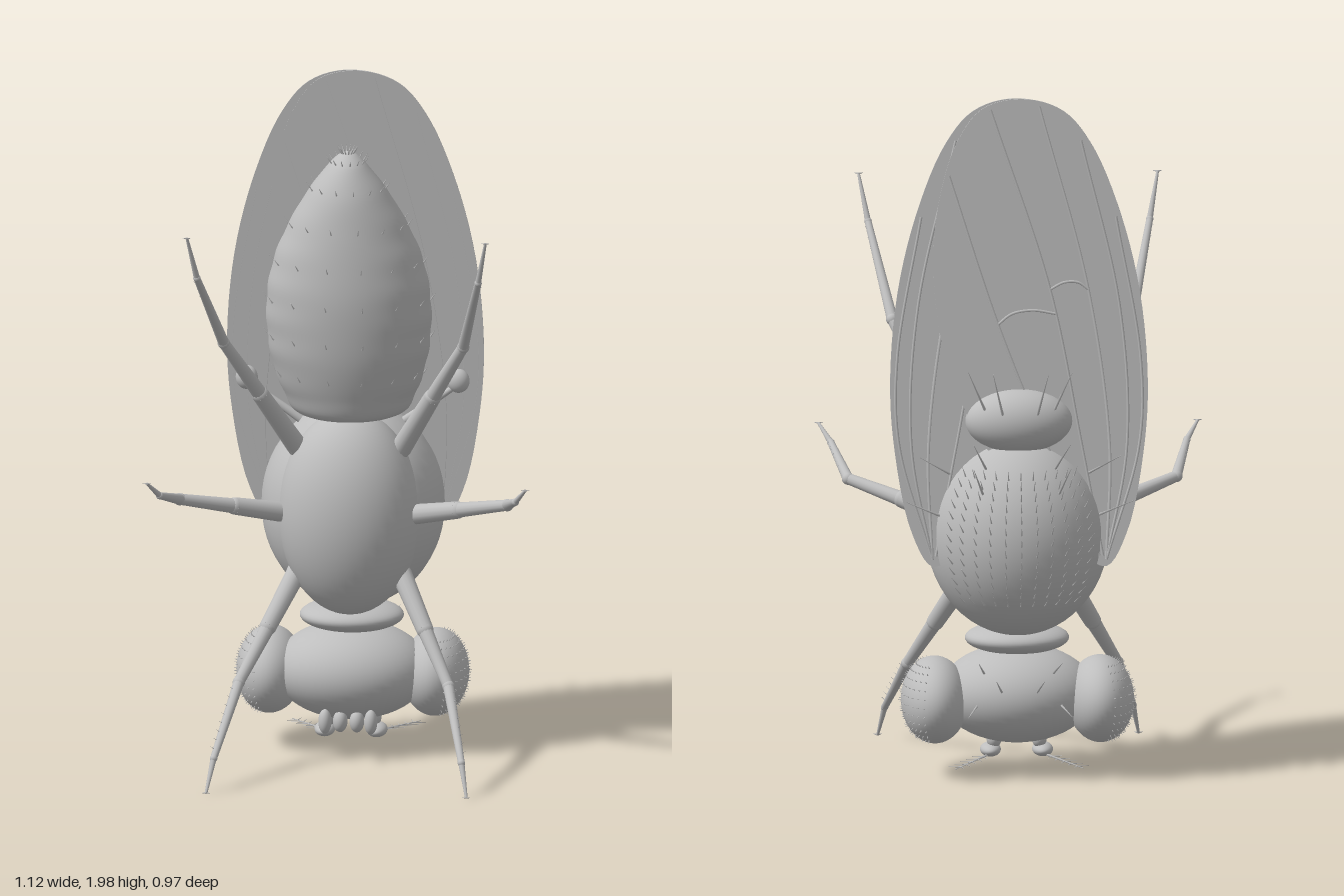
import * as THREE from 'three';
import { mergeGeometries } from 'three/addons/utils/BufferGeometryUtils.js';

const V = (x, y, z) => new THREE.Vector3(x, y, z);
const UP = V(0, 1, 0);

export function createModel() {
  const root = new THREE.Group();
  root.name = 'fly';
  const grey = new THREE.MeshStandardMaterial({ color: 0xbebebe });
  grey.name = 'grey';

  const add = (name, geometry, parent = root) => {
    const mesh = new THREE.Mesh(geometry, grey);
    mesh.name = name;
    parent.add(mesh);
    return mesh;
  };
  const ellipsoid = (name, c, r, parent = root) => {
    const mesh = add(name, new THREE.SphereGeometry(1, 40, 28), parent);
    mesh.scale.set(...r);
    mesh.position.set(...c);
    return mesh;
  };
  // tapered rod between two points
  const rod = (a, b, ra, rb, sides = 14) => {
    const d = b.clone().sub(a);
    const g = new THREE.CylinderGeometry(rb, ra, d.length(), sides);
    g.applyQuaternion(new THREE.Quaternion().setFromUnitVectors(UP, d.clone().normalize()));
    const m = a.clone().add(b).multiplyScalar(0.5);
    return g.translate(m.x, m.y, m.z);
  };
  const ball = (p, r) => new THREE.SphereGeometry(r, 14, 10).translate(p.x, p.y, p.z);
  const bristle = (p, dir, len, r) =>
    rod(p, p.clone().addScaledVector(dir.clone().normalize(), len), r, r * 0.15, 4);
  // point and outward normal on an ellipsoid, for a unit direction
  const onEllipsoid = (c, r, u) => ({
    p: V(c[0] + r[0] * u.x, c[1] + r[1] * u.y, c[2] + r[2] * u.z),
    n: V(u.x / r[0], u.y / r[1], u.z / r[2]).normalize(),
  });

  // abdomen: lathe of half-widths, reshaped to front and back depth curves
  const sections = [ // y, half width, front z, back z
    [1.03, 0.005, 0.0, -0.1], [1.032, 0.155, 0.11, -0.2], [1.1, 0.195, 0.143, -0.205],
    [1.2, 0.225, 0.175, -0.195], [1.3, 0.237, 0.192, -0.18], [1.4, 0.234, 0.2, -0.16],
    [1.5, 0.213, 0.196, -0.138], [1.6, 0.172, 0.185, -0.107], [1.7, 0.116, 0.165, -0.06],
    [1.78, 0.057, 0.125, -0.003], [1.81, 0.027, 0.09, 0.03], [1.822, 0.002, 0.063, 0.059]];
  const widths = new THREE.CatmullRomCurve3(sections.map(s => V(s[1], s[0], 0)));
  const depths = new THREE.CatmullRomCurve3(sections.map(s => V(s[2], s[0], s[3])));
  const N = 88;
  const w = [], d = [];
  for (let i = 0; i <= N; i++) {
    const p = widths.getPoint(i / N);
    w.push(new THREE.Vector2(Math.max(p.x, 0.001), p.y));
    d.push(depths.getPoint(i / N));
  }
  const abdomenPoint = (j, a) => V(w[j].x * Math.sin(a), w[j].y,
    (d[j].x + d[j].z) / 2 + Math.cos(a) * (d[j].x - d[j].z) / 2);
  const abdomen = new THREE.LatheGeometry(w, 48, Math.PI);
  const pos = abdomen.attributes.position;
  for (let k = 0; k < pos.count; k++) {
    const j = k % (N + 1);
    const a = Math.PI + Math.floor(k / (N + 1)) / 48 * Math.PI * 2;
    const band = 1 + 0.007 * Math.sin(j / 8 * Math.PI * 2);
    const p = abdomenPoint(j, a);
    pos.setXYZ(k, p.x * band, p.y, p.z);
  }
  abdomen.computeVertexNormals();
  add('abdomen', abdomen);

  // thorax, scutellum, neck and head
  const backC = [0, 0.73, -0.15], backR = [0.264, 0.3, 0.267];
  const scutC = [0, 1.07, -0.235], scutR = [0.155, 0.093, 0.092];
  const headC = [0, 0.25, -0.1], headR = [0.225, 0.142, 0.187];
  ellipsoid('thoraxBack', backC, backR);
  ellipsoid('thoraxBelly', [0, 0.733, -0.02], [0.206, 0.3, 0.18]);
  ellipsoid('scutellum', scutC, scutR);
  ellipsoid('neck', [0, 0.412, -0.1], [0.15, 0.045, 0.13]);
  ellipsoid('head', headC, headR);

  // small hairs
  const hairs = [];
  for (let col = -5; col <= 5; col++) {
    for (let row = 0; row < 13; row++) {
      const lon = col * 0.17, lat = -0.65 + row * 0.11;
      const { p, n } = onEllipsoid(backC, backR,
        V(Math.sin(lon) * Math.cos(lat), Math.sin(lat), -Math.cos(lon) * Math.cos(lat)));
      hairs.push(bristle(p, n.add(V(0, 1.3, 0)), 0.032, 0.0025));
    }
  }
  for (let ring = 0; ring < 8; ring++) {
    for (let k = 0; k < 14; k++) {
      const a = (k + 0.5) / 14 * Math.PI * 2;
      const p = abdomenPoint(Math.min(20 + ring * 9, N - 5), a);
      hairs.push(bristle(p, V(Math.sin(a), 1.4, Math.cos(a)), 0.022, 0.0025));
    }
  }

  for (const s of [1, -1]) {
    const side = s > 0 ? 'left' : 'right';
    const M = (x, y, z) => V(s * x, y, z);

    // compound eye with rows of facet hairs
    const eyeC = [s * 0.238, 0.238, -0.135], eyeR = [0.097, 0.125, 0.166];
    ellipsoid(side + 'Eye', eyeC, eyeR);
    for (let i = -5; i <= 5; i++) {
      for (let j = -6; j <= 6; j++) {
        const lat = i * 0.2, lon = j * 0.2;
        const { p, n } = onEllipsoid(eyeC, eyeR,
          V(s * Math.cos(lat) * Math.cos(lon), Math.sin(lat), Math.cos(lat) * Math.sin(lon)));
        hairs.push(bristle(p, n, 0.008, 0.002));
      }
    }

    // long bristles on thorax, scutellum and head
    [[0.1, 0.95, -0.35, 0.04, 0.09, -0.11], [0.11, 0.88, -0.37, 0.03, 0.09, -0.1],
      [0.2, 0.92, -0.26, 0.09, 0.06, -0.06], [0.23, 0.8, -0.27, 0.1, 0.05, -0.05],
      [0.1, 1.11, -0.29, 0.05, 0.12, -0.05], [0.05, 1.1, -0.315, 0.03, 0.13, -0.06],
      [0.1, 0.33, -0.23, 0.02, 0.05, -0.12], [0.05, 0.28, -0.27, 0.02, 0.05, -0.09],
      [0.12, 0.24, -0.25, 0.03, -0.02, -0.09],
    ].forEach(([x, y, z, a, b, c]) => {
      const dir = M(a, b, c);
      hairs.push(bristle(M(x, y, z), dir, dir.length(), 0.004));
    });

    // antenna with a feathery arista
    ellipsoid(side + 'AntennaBase', [s * 0.065, 0.115, -0.08], [0.022, 0.03, 0.03]);
    ellipsoid(side + 'AntennaTip', [s * 0.075, 0.08, -0.07], [0.03, 0.02, 0.055]);
    const a0 = M(0.08, 0.07, -0.1), a1 = M(0.185, 0.058, -0.27);
    hairs.push(rod(a0, a1, 0.004, 0.001, 5));
    for (let k = 1; k < 6; k++) {
      const p = a0.clone().lerp(a1, k / 6);
      hairs.push(bristle(p, M(1, 0, 0.1), 0.035, 0.002), bristle(p, M(-0.3, 0, -1), 0.035, 0.002));
    }
    // mouthparts
    ellipsoid(side + 'Lip', [s * 0.024, 0.125, 0.025], [0.021, 0.032, 0.025]);
    ellipsoid(side + 'Palp', [s * 0.066, 0.13, 0.052], [0.019, 0.036, 0.022]);

    // haltere
    add(side + 'HaltereStalk', rod(M(0.15, 0.98, -0.13), M(0.305, 1.09, -0.13), 0.013, 0.008));
    ellipsoid(side + 'HaltereKnob', [s * 0.305, 1.1, -0.13], [0.032, 0.035, 0.027]);

    // legs: coxa, femur, tibia, foot and claws
    const legs = {
      Hind: [[0.15, 0.93, 0.0], [0.345, 1.285, 0.215], [0.405, 1.53, 0.44], [0.43, 1.66, 0.49]],
      Middle: [[0.17, 0.735, 0.01], [0.472, 0.82, 0.215], [0.512, 0.885, 0.44], [0.545, 0.932, 0.49]],
      Front: [[0.15, 0.56, 0.0], [0.302, 0.28, 0.21], [0.357, 0.11, 0.44], [0.375, 0.02, 0.49]],
    };
    for (const [name, pts] of Object.entries(legs)) {
      const [hip, knee, ankle, toe] = pts.map(p => M(...p));
      const mid = hip.clone().lerp(knee, 0.5);
      const leg = new THREE.Group();
      leg.name = side + name + 'Leg';
      root.add(leg);
      add('coxa', mergeGeometries([rod(hip, mid, 0.03, 0.025), ball(hip, 0.03), ball(mid, 0.025)]), leg);
      add('femur', mergeGeometries([rod(mid, knee, 0.022, 0.016), ball(knee, 0.018)]), leg);
      add('tibia', mergeGeometries([rod(knee, ankle, 0.016, 0.01), ball(ankle, 0.011)]), leg);
      add('foot', rod(ankle, toe, 0.009, 0.004), leg);
      add('claws', mergeGeometries([-1, 1].map(k => bristle(toe, V(k, 0.1, 0.5), 0.014, 0.003))), leg);
      for (let k = 1; k < 9; k++) {
        hairs.push(bristle(knee.clone().lerp(ankle, k / 9), M(0.6, 0.5, 0.5), 0.026, 0.002));
      }
    }

    // wing: thin leaf leaning forward toward the tip, the right one lying over the left
    const wing = new THREE.Group();
    wing.name = side + 'Wing';
    root.add(wing);
    const edge = [[0.25, 0.65], [0.31, 0.75], [0.36, 1.0], [0.37, 1.2], [0.347, 1.45], [0.29, 1.68],
      [0.21, 1.87], [0.13, 1.965], [0.02, 2.0], [-0.1, 1.975], [-0.175, 1.88], [-0.23, 1.7],
      [-0.245, 1.5], [-0.21, 1.25], [-0.1, 1.0], [0.08, 0.8], [0.19, 0.68]];
    const outline = new THREE.CatmullRomCurve3(edge.map(([x, y]) => M(x, y, 0)), true).getPoints(90);
    const shape = new THREE.Shape(outline.slice(0, -1).map(p => new THREE.Vector2(p.x, p.y)));
    const blade = new THREE.ExtrudeGeometry(shape, { depth: 0.004, bevelEnabled: false });
    const wingZ = y => -0.272 + (y - 0.65) * 0.0635 + (s > 0 ? 0.005 : -0.005);
    const bp = blade.attributes.position;
    for (let k = 0; k < bp.count; k++) bp.setZ(k, bp.getZ(k) + wingZ(bp.getY(k)));
    blade.computeVertexNormals();
    add('blade', blade, wing);
    // veins on the back of the wing
    const veins = [
      [[0.25, 0.67], [0.345, 1.0], [0.35, 1.25], [0.28, 1.66]],
      [[0.25, 0.67], [0.31, 1.0], [0.29, 1.4], [0.18, 1.88]],
      [[0.25, 0.67], [0.26, 1.0], [0.2, 1.45], [0.06, 1.98]],
      [[0.24, 0.68], [0.18, 1.0], [0.09, 1.45], [-0.08, 1.97]],
      [[0.23, 0.68], [0.08, 1.0], [-0.06, 1.35], [-0.2, 1.78]],
      [[0.09, 1.45], [0.13, 1.47], [0.17, 1.47], [0.2, 1.45]],
      [[-0.06, 1.35], [-0.02, 1.38], [0.04, 1.39], [0.105, 1.38]]];
    add('veins', mergeGeometries(veins.map(v => new THREE.TubeGeometry(
      new THREE.CatmullRomCurve3(v.map(([x, y]) => M(x, y, wingZ(y)))), 28, 0.0045, 5))), wing);
  }

  add('bristles', mergeGeometries(hairs));
  return root;
}
